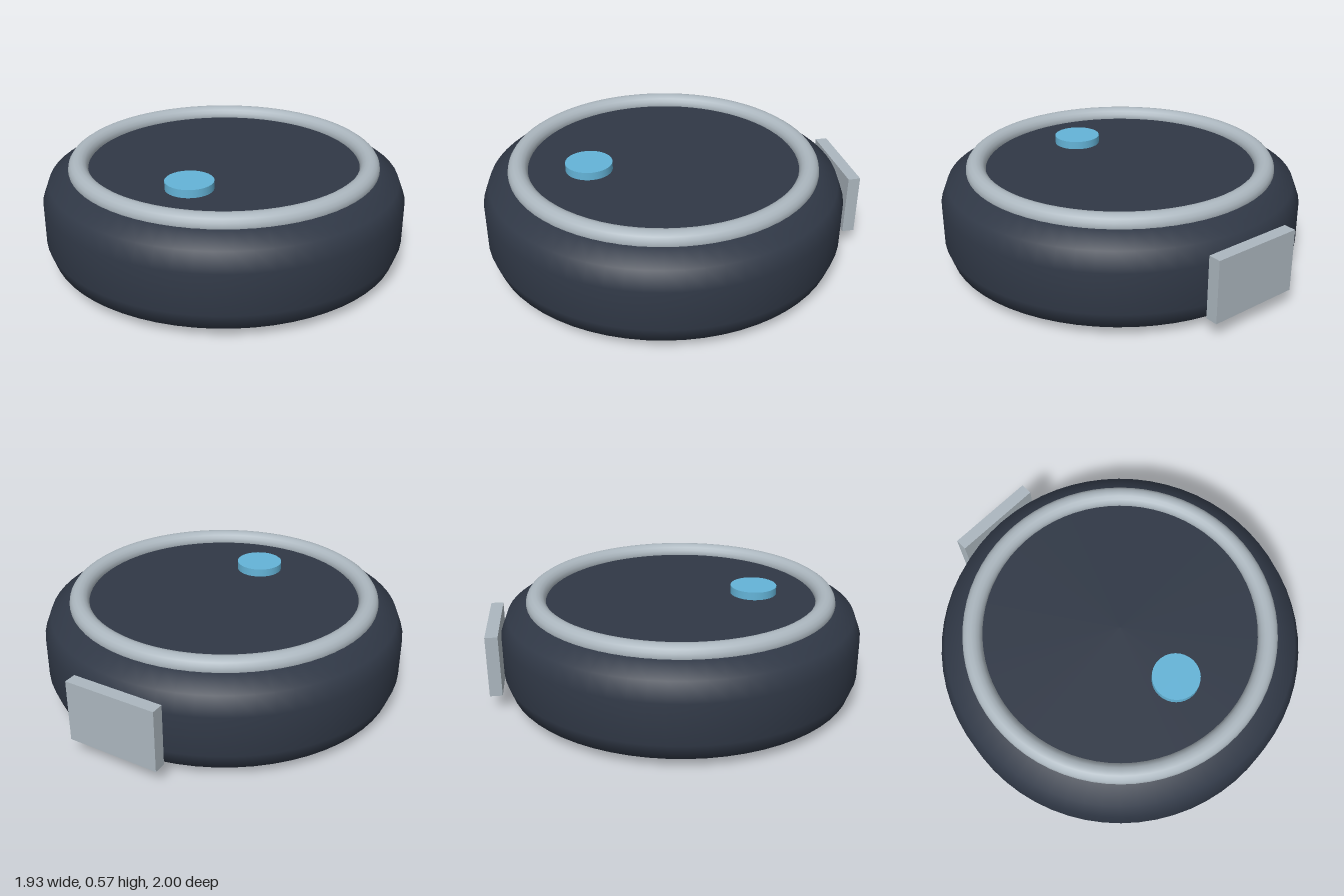
import * as THREE from 'three';

const mat = (name, color) => {
  const m = new THREE.MeshStandardMaterial({ color });
  m.name = name;
  return m;
};

export function createModel() {
  const group = new THREE.Group();
  const charcoal = mat('charcoal', 0x303846);
  const silver = mat('silver', 0xacb7bf);
  const blue = mat('blue', 0x64b4d8);
  const cz = 0.033; // the round body sits slightly forward of centre

  const add = (name, geometry, material, x, y, z) => {
    const mesh = new THREE.Mesh(geometry, material);
    mesh.name = name;
    mesh.position.set(x, y, z);
    group.add(mesh);
    return mesh;
  };

  // Puck body with softly bevelled rims
  const profile = [
    [0, 0], [0.75, 0], [0.83, 0.003], [0.937, 0.055], [0.967, 0.14],
    [0.967, 0.355], [0.93, 0.45], [0.825, 0.507], [0.72, 0.507], [0, 0.507],
  ].map(([r, y]) => new THREE.Vector2(r, y));
  add('body', new THREE.LatheGeometry(profile, 64), charcoal, 0, 0, cz);

  // Ring around the top face
  const ring = new THREE.TorusGeometry(0.775, 0.0525, 16, 72);
  ring.rotateX(-Math.PI / 2);
  add('topRing', ring, silver, 0, 0.514, cz);

  // Indicator button near the front of the top face
  add('button', new THREE.CylinderGeometry(0.125, 0.125, 0.06, 32), blue, 0, 0.52, 0.435);

  // Flat clip on the back
  add('backClip', new THREE.BoxGeometry(0.5, 0.33, 0.066), silver, 0, 0.255, -0.967);

  return group;
}
